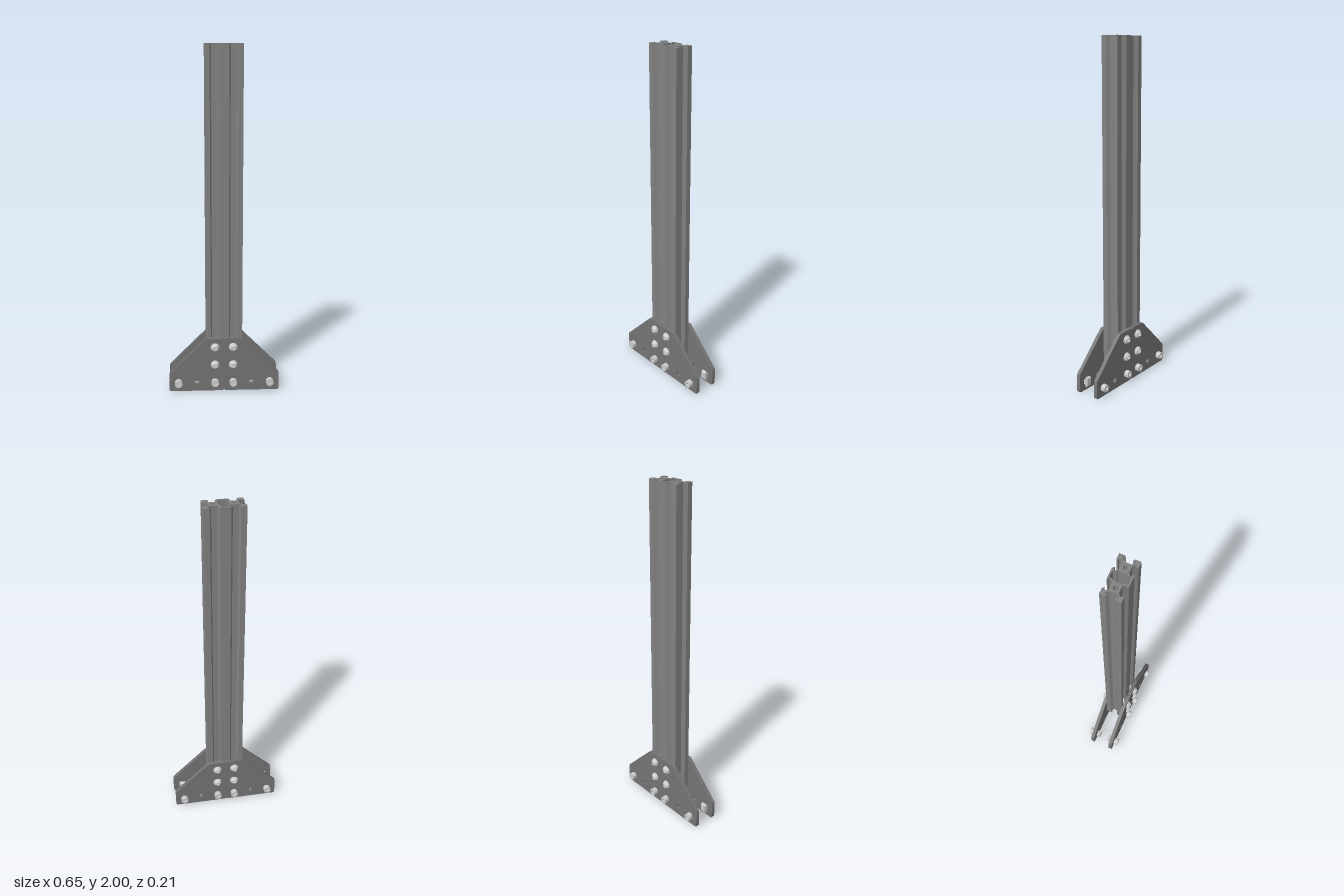
import * as THREE from 'three';
import { toCreasedNormals } from 'three/addons/utils/BufferGeometryUtils.js';

const paint = (color) => new THREE.MeshStandardMaterial({ color, side: THREE.DoubleSide });
const STEEL = paint(0xcccccc);
const PLATE_GREY = paint(0x747474);
const PROFILE_GREY = paint(0x828282);

const H = 0.0535;        // half the profile depth, also the cell offset
const PLATE = 0.022;     // plate thickness
const FACE = H + PLATE;  // outer face of a plate
const ROWS = [0.055, 0.163, 0.272];

function add(parent, name, geometry, material = STEEL) {
  const mesh = new THREE.Mesh(geometry, material);
  mesh.name = name;
  parent.add(mesh);
  return mesh;
}

function circlePath(x, y, r) {
  return new THREE.Path().absarc(x, y, r, 0, Math.PI * 2, true);
}

const points = (list) => list.map(([x, y]) => new THREE.Vector2(x, y));

// Twin-cell slotted upright
function profileGeometry() {
  const half = [[0.0245, 0], [0.0165, 0.0095], [0.0295, 0.0095], [0.0295, 0.0175], [0.018, 0.029]];
  const slot = [...half.map(([t, d]) => [-t, d]), ...half.slice().reverse()];
  const outline = [];
  const cutSlot = (x, y, angle) => {
    const c = Math.cos(angle), s = Math.sin(angle);
    for (const [t, d] of slot) outline.push([x + t * c - d * s, y + t * s + d * c]);
  };
  for (const side of [1, -1]) {
    const turn = side > 0 ? 0 : Math.PI;
    outline.push([-2 * H * side, -H * side]);
    cutSlot(-H * side, -H * side, turn);
    cutSlot(H * side, -H * side, turn);
    outline.push([2 * H * side, -H * side]);
    cutSlot(2 * H * side, 0, turn + Math.PI / 2);
  }
  const shape = new THREE.Shape(points(outline));
  // central cavity and the two screw bores
  const c = [[0.0185, 0.0455], [0.0185, 0.03], [0.027, 0.0215]];
  const right = [...c, ...c.slice().reverse().map(([x, y]) => [x, -y])];
  shape.holes.push(new THREE.Path(points([...right, ...right.slice().reverse().map(([x, y]) => [-x, y])])));
  for (const x of [-H, H]) shape.holes.push(circlePath(x, 0, 0.0115));
  const g = new THREE.ExtrudeGeometry(shape, { depth: 2 - 0.11, bevelEnabled: false, curveSegments: 12 });
  return g.rotateX(-Math.PI / 2).translate(0, 0.11, 0);
}

// Joining plate with small centre notches and bolt holes
function plateGeometry() {
  const s = new THREE.Shape();
  s.moveTo(-0.312, 0);
  s.lineTo(-0.007, 0);
  s.absarc(0, 0, 0.007, Math.PI, 0, true);
  s.lineTo(0.312, 0);
  s.quadraticCurveTo(0.324, 0, 0.324, 0.012);
  s.lineTo(0.324, 0.102);
  s.quadraticCurveTo(0.324, 0.11, 0.318, 0.116);
  s.lineTo(0.113, 0.321);
  s.quadraticCurveTo(0.108, 0.326, 0.1, 0.326);
  s.lineTo(0.007, 0.326);
  s.absarc(0, 0.326, 0.007, 0, Math.PI, true);
  s.lineTo(-0.1, 0.326);
  s.quadraticCurveTo(-0.108, 0.326, -0.113, 0.321);
  s.lineTo(-0.318, 0.116);
  s.quadraticCurveTo(-0.324, 0.11, -0.324, 0.102);
  s.lineTo(-0.324, 0.012);
  s.quadraticCurveTo(-0.324, 0, -0.312, 0);
  for (const sx of [-1, 1]) {
    for (const y of ROWS) s.holes.push(circlePath(sx * H, y, 0.015));
    for (const x of [0.162, 0.27]) s.holes.push(circlePath(sx * x, ROWS[0], 0.015));
  }
  const g = new THREE.ExtrudeGeometry(s, { depth: PLATE, bevelEnabled: false, curveSegments: 10 });
  return toCreasedNormals(g.translate(0, 0, H), 0.6);
}

// Bolt head from a side profile [radius, height], with a hexagonal socket
function addHead(parent, profile) {
  const [rTop, top] = profile[profile.length - 1];
  const hexR = 0.011, depth = 0.012;
  const body = new THREE.LatheGeometry(points(profile), 32).rotateX(Math.PI / 2);
  add(parent, 'boltHead', toCreasedNormals(body, 0.6)).position.z = FACE;
  const hex = new THREE.Path(points([...Array(6).keys()].map((i) =>
    [hexR * Math.sin(i * Math.PI / 3), hexR * Math.cos(i * Math.PI / 3)])));
  const ring = new THREE.Shape().absarc(0, 0, rTop, 0, Math.PI * 2, false);
  ring.holes.push(hex);
  add(parent, 'boltHeadTop', new THREE.ShapeGeometry(ring, 16)).position.z = FACE + top;
  const wall = new THREE.CylinderGeometry(hexR, hexR, depth, 6, 1, true).rotateX(Math.PI / 2);
  add(parent, 'socketWall', toCreasedNormals(wall, 0.3)).position.z = FACE + top - depth / 2;
  add(parent, 'socketFloor', new THREE.CircleGeometry(hexR, 6, Math.PI / 6)).position.z = FACE + top - depth;
}

// Sliding nut: narrow neck, wide shoulders, tapered inner end
function nutGeometry() {
  const side = [[0.015, H], [0.015, 0.0445], [0.029, 0.0435], [0.029, 0.037], [0.021, 0.029]];
  const shape = new THREE.Shape(points([...side, ...side.slice().reverse().map(([x, y]) => [-x, y])]));
  return new THREE.ExtrudeGeometry(shape, { depth: 0.033, bevelEnabled: false })
    .translate(0, 0, -0.0165).rotateX(Math.PI / 2);
}

const BUTTON = [[0.0262, 0], [0.0262, 0.004], [0.0225, 0.0115], [0.018, 0.017], [0.013, 0.021]];
const CAP = [[0.022, 0], [0.022, 0.0275]];

function addBolt(parent, x, y, low) {
  const bolt = new THREE.Group();
  bolt.name = low ? 'capBolt' : 'buttonBolt';
  bolt.position.set(x, y, 0);
  addHead(bolt, low ? CAP : BUTTON);
  const length = FACE - 0.031;
  add(bolt, 'shank', new THREE.CylinderGeometry(0.0135, 0.0135, length, 20).rotateX(Math.PI / 2))
    .position.z = FACE - length / 2;
  // the bottom row's nuts are turned upright
  add(bolt, 'slotNut', nutGeometry()).rotation.z = low ? Math.PI / 2 : 0;
  parent.add(bolt);
}

export function createModel() {
  const model = new THREE.Group();
  model.name = 'postWithBasePlates';
  add(model, 'upright', profileGeometry(), PROFILE_GREY);
  for (const name of ['frontPlateAssembly', 'backPlateAssembly']) {
    const side = new THREE.Group();
    side.name = name;
    add(side, 'plate', plateGeometry(), PLATE_GREY);
    for (const sx of [-1, 1]) {
      ROWS.forEach((y, i) => addBolt(side, sx * H, y, i === 0));
      addBolt(side, sx * 0.27, ROWS[0], true);
    }
    if (name === 'backPlateAssembly') side.rotation.y = Math.PI;
    model.add(side);
  }
  return model;
}
